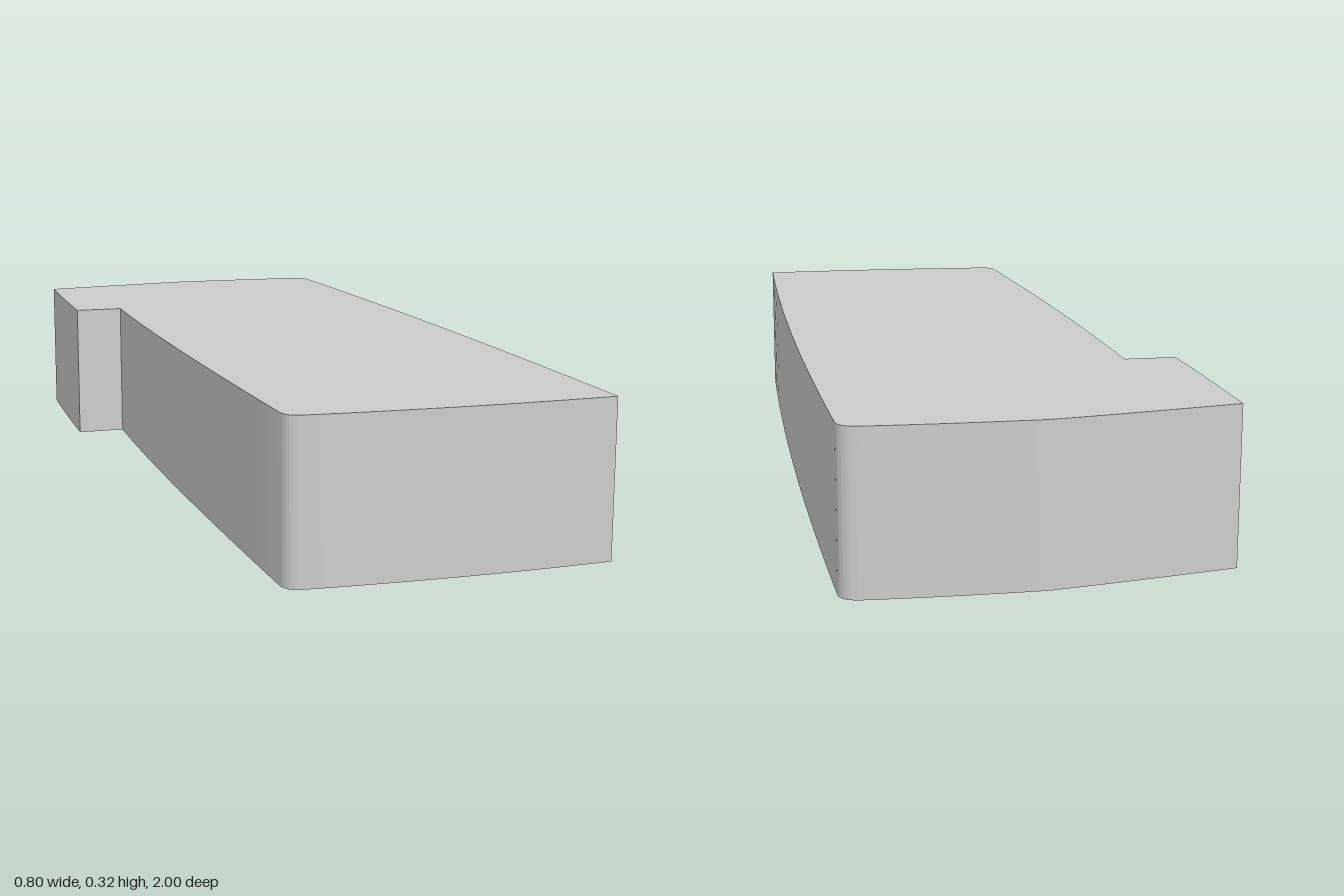
import * as THREE from 'three';
import { toCreasedNormals } from 'three/addons/utils/BufferGeometryUtils.js';

const HEIGHT = 0.325;

export function createModel() {
  const group = new THREE.Group();
  group.name = 'notchedSlab';

  // Footprint seen from above (shape y points to the back, -z)
  const s = new THREE.Shape();
  s.moveTo(-0.39, 0.932);
  s.quadraticCurveTo(-0.14, 0.98, 0.0, 1.0);          // sloping back edge
  s.quadraticCurveTo(0.2, 1.003, 0.345, 0.994);
  s.quadraticCurveTo(0.383, 0.99, 0.384, 0.955);      // rounded back corner
  s.quadraticCurveTo(0.414, 0, 0.383, -0.989);        // bowed long side
  s.quadraticCurveTo(0.07, -1.01, -0.245, -0.989);    // bowed front edge
  s.quadraticCurveTo(-0.272, -0.985, -0.275, -0.955); // rounded front corner
  s.quadraticCurveTo(-0.301, -0.1, -0.286, 0.472);    // side up to the notch
  s.lineTo(-0.4, 0.47);                               // step out to the overhang
  s.quadraticCurveTo(-0.399, 0.7, -0.39, 0.932);

  const extruded = new THREE.ExtrudeGeometry(s, { depth: HEIGHT, bevelEnabled: false, curveSegments: 12 });
  extruded.rotateX(-Math.PI / 2);

  const slab = new THREE.Mesh(
    toCreasedNormals(extruded, 0.5),
    new THREE.MeshStandardMaterial({ color: 0xcccccc })
  );
  slab.name = 'slab';
  group.add(slab);
  return group;
}
